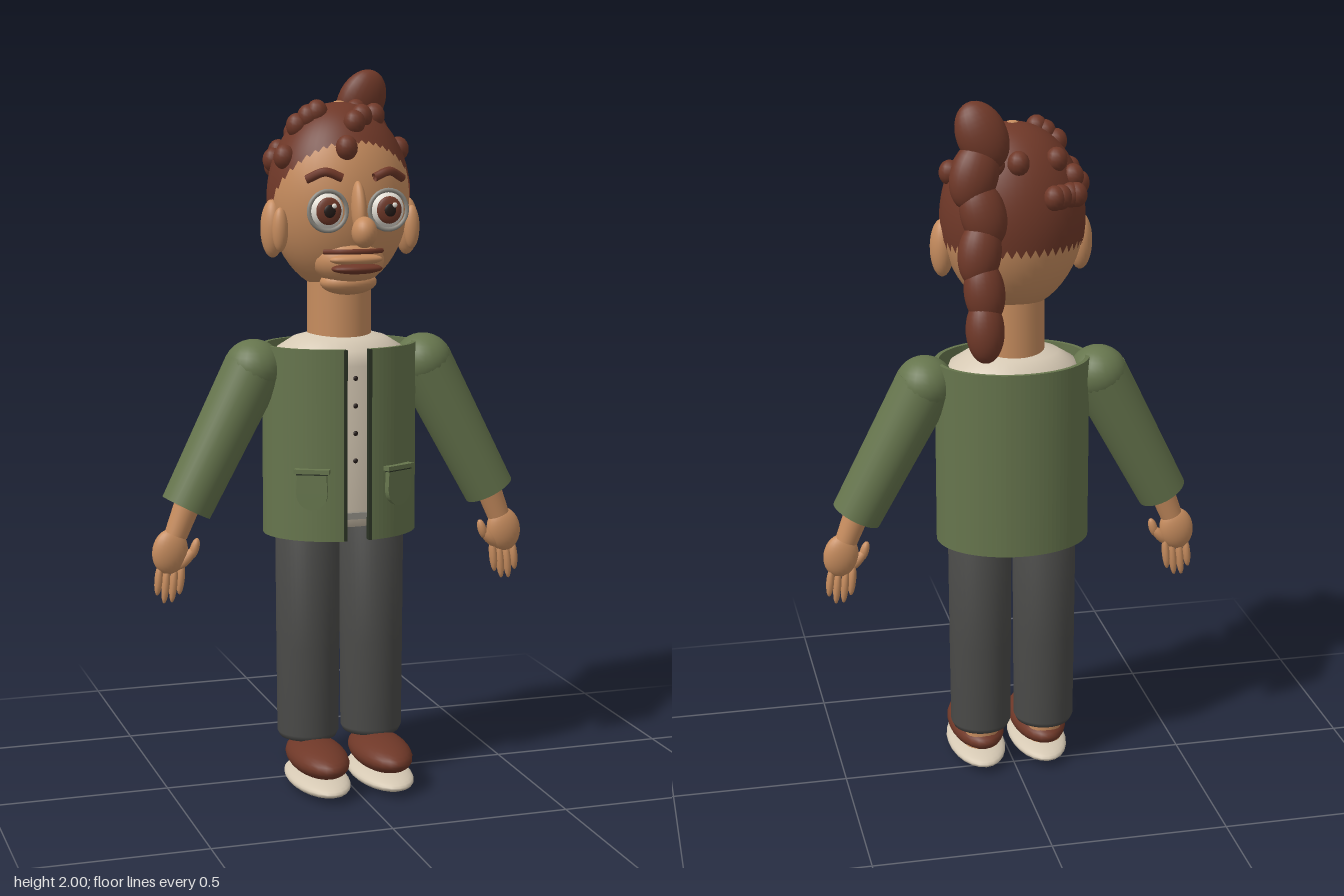
import * as THREE from 'three';

const mat = (name, color, side = THREE.FrontSide) => {
  const m = new THREE.MeshStandardMaterial({ color, side });
  m.name = name;
  return m;
};

export function createModel() {
  const model = new THREE.Group();
  model.name = 'person';
  const skin = mat('skin', 0xc68c5e);
  const hair = mat('auburn', 0x6f3828, THREE.DoubleSide);
  const green = mat('jacket green', 0x66754d, THREE.DoubleSide);
  const darkGreen = mat('jacket trim', 0x2b3324);
  const grey = mat('trouser grey', 0x4a4a48);
  const cream = mat('cream', 0xd6c9b4);
  const white = mat('eye white', 0xe9e4da);
  const metal = mat('frame grey', 0x8d8a82);
  const dark = mat('dark', 0x241a17);

  const V = (x, y, z) => new THREE.Vector3(x, y, z);
  const add = (name, geo, material, pos = [0, 0, 0], parent = model) => {
    const m = new THREE.Mesh(geo, material);
    m.name = name;
    m.position.set(...pos);
    parent.add(m);
    return m;
  };
  const blob = (name, material, pos, r, tilt = [0, 0, 0], seg = 24) => {
    const m = add(name, new THREE.SphereGeometry(1, seg, Math.round(seg * 0.7)), material, pos);
    m.scale.set(...r);
    m.rotation.set(...tilt);
    return m;
  };
  // Tapered round limb between two points
  const limb = (name, material, a, b, ra, rb) => {
    const p = V(...a), q = V(...b), d = q.clone().sub(p);
    const m = add(name, new THREE.CylinderGeometry(rb, ra, d.length(), 28), material);
    m.position.copy(p).add(q).multiplyScalar(0.5);
    m.quaternion.setFromUnitVectors(V(0, 1, 0), d.normalize());
    return m;
  };
  const tube = (name, material, pts, r) =>
    add(name, new THREE.TubeGeometry(new THREE.CatmullRomCurve3(pts.map(p => V(...p))), 20, r, 8), material);
  const lathe = (name, material, pts, pos, zScale = 1) => {
    const m = add(name, new THREE.LatheGeometry(pts.map(p => new THREE.Vector2(...p)), 40), material, pos);
    m.scale.z = zScale;
    return m;
  };

  // Head and neck
  const HY = 1.65, HZ = 0.017, RX = 0.2, RY = 0.26, RZ = 0.178;
  blob('head', skin, [0, HY, HZ], [RX - 0.004, RY - 0.002, RZ - 0.004], [0, 0, 0], 40);
  limb('neck', skin, [0, 1.24, 0.02], [0, 1.46, 0.02], 0.09, 0.088);

  // Hair cap: level at the back, hairline rising towards the forehead
  const cap = new THREE.SphereGeometry(1, 48, 20);
  const cp = cap.attributes.position, uv = cap.attributes.uv;
  for (let i = 0; i < cp.count; i++) {
    const phi = uv.getX(i) * Math.PI * 2, v = 1 - uv.getY(i);
    const s = Math.sin(phi);
    let lo = 0, hi = Math.PI;
    for (let k = 0; k < 24; k++) {
      const t = (lo + hi) / 2, z = HZ + RZ * Math.sin(t) * s;
      const edge = 1.575 + Math.max(0, z) * 1.4;
      if (HY + RY * Math.cos(t) > edge) lo = t; else hi = t;
    }
    const t = THREE.MathUtils.clamp(v, 0, 1) * lo;
    cp.setXYZ(i, -RX * Math.cos(phi) * Math.sin(t), RY * Math.cos(t), RZ * Math.sin(t) * s);
  }
  cap.computeVertexNormals();
  add('hairCap', cap, hair, [0, HY, HZ]);
  blob('crownSpot', skin, [0, 1.909, HZ], [0.015, 0.004, 0.015]);

  // Curls resting on the scalp, given as x, z
  const curls = [[-0.167, -0.052], [-0.147, -0.069], [-0.13, -0.11], [-0.1, -0.13], [-0.08, -0.14],
    [-0.098, -0.083], [-0.147, -0.11], [-0.17, 0.069], [-0.127, 0.043], [-0.098, 0.052], [-0.075, 0.058],
    [0.084, 0.069], [0.037, 0.104], [0.01, 0.125], [-0.024, 0.165], [0.173, 0.014],
    [0.012, -0.115], [0.066, -0.037], [0.075, -0.1]];
  for (const [x, z] of curls) {
    const h = 1 - (x / RX) ** 2 - ((z - HZ) / RZ) ** 2;
    blob('curl', hair, [x, HY + RY * Math.sqrt(Math.max(h, 0.1)), z], [0.03, 0.034, 0.03], [0, 0, 0], 14);
  }

  // Twisted ponytail behind the model's left side
  for (let i = 0; i < 6; i++) {
    const t = i / 5, side = i % 2 ? 1 : -1, r = 0.068 - 0.016 * t;
    blob('braidStrand', hair, [0.128 + side * 0.014 * (1 - t), 1.907 - 0.498 * t, -0.137 - 0.098 * t],
      [r, 0.094 - 0.006 * t, 0.045], [0.17, 0, side * 0.4 * (1 - t)]);
  }

  // Nose
  blob('noseTip', skin, [0, 1.57, 0.245], [0.034, 0.042, 0.038]);
  blob('noseBridge', skin, [0, 1.63, 0.198], [0.02, 0.075, 0.032], [-0.2, 0, 0]);

  // Mouth
  blob('muzzle', skin, [0, 1.485, 0.1], [0.1, 0.07, 0.092]);
  tube('upperLipLine', hair, [[-0.082, 1.512, 0.145], [-0.04, 1.514, 0.185], [0.04, 1.514, 0.185], [0.082, 1.512, 0.145]], 0.007);
  blob('upperLip', skin, [0, 1.492, 0.175], [0.075, 0.016, 0.028]);
  blob('lowerLip', hair, [0, 1.468, 0.182], [0.072, 0.015, 0.038]);
  blob('chin', skin, [0, 1.425, 0.105], [0.08, 0.035, 0.055]);

  for (const s of [-1, 1]) {
    // Eyes, frames and brows
    const x = s * 0.085, y = 1.625;
    blob('eyeball', white, [x, y, 0.17], [0.05, 0.052, 0.036]);
    add('eyeFrame', new THREE.TorusGeometry(0.053, 0.006, 8, 32), metal, [x, y, 0.192]);
    blob('iris', hair, [x, y, 0.2], [0.035, 0.037, 0.011]);
    blob('pupil', dark, [x, y, 0.208], [0.017, 0.018, 0.006]);
    blob('eyeGlint', white, [x + 0.012, y + 0.014, 0.211], [0.007, 0.007, 0.004], [0, 0, 0], 10);
    tube('eyebrow', hair, [[s * 0.045, 1.712, 0.192], [s * 0.09, 1.728, 0.185], [s * 0.135, 1.708, 0.16]], 0.012);

    // Ears
    blob('ear', skin, [s * 0.193, 1.57, 0.03], [0.033, 0.08, 0.038]);
    blob('earFront', skin, [s * 0.188, 1.57, 0.088], [0.022, 0.06, 0.021]);

    // Sleeve
    const A = [s * 0.247, 1.187, 0.022], B = [s * 0.445, 0.81, 0.036];
    blob('shoulder', green, A, [0.083, 0.08, 0.085]);
    limb('sleeve', green, A, B, 0.083, 0.072);

    // Hand
    limb('wrist', skin, B, [s * 0.475, 0.735, 0.036], 0.036, 0.032);
    blob('palm', skin, [s * 0.492, 0.69, 0.036], [0.05, 0.064, 0.03], [0, 0, s * 0.15]);
    [[0.462, 0.615, 0.05], [0.483, 0.6, 0.056], [0.505, 0.598, 0.055], [0.525, 0.612, 0.045]].forEach(([fx, fy, len]) =>
      blob('finger', skin, [s * fx, fy, 0.034], [0.0115, len, 0.014], [0, 0, s * 0.1], 12));
    blob('thumbBase', skin, [s * 0.447, 0.668, 0.04], [0.016, 0.038, 0.016], [0, 0, s * 0.75], 12);
    blob('thumbTip', skin, [s * 0.424, 0.695, 0.042], [0.013, 0.03, 0.013], [0, 0, s * 0.3], 12);

    // Trouser leg, ankle and shoe
    lathe('trouserLeg', grey, [[0.001, 0.13], [0.08, 0.13], [0.087, 0.145], [0.089, 0.4], [0.091, 0.79], [0.001, 0.8]], [s * 0.094, 0, 0.025]);
    limb('ankle', skin, [s * 0.094, 0.07, 0.015], [s * 0.094, 0.15, 0.015], 0.05, 0.05);
    blob('shoe', hair, [s * 0.093, 0.09, 0.112], [0.08, 0.047, 0.164]);
    blob('sole', cream, [s * 0.093, 0.028, 0.111], [0.083, 0.028, 0.174]);
  }

  // Shirt with buttons, and belt
  lathe('shirt', cream, [[0.001, 0.75], [0.16, 0.75], [0.185, 0.8], [0.19, 1.0], [0.19, 1.2], [0.175, 1.24],
    [0.13, 1.268], [0.085, 1.28]], [0, 0, 0.02], 0.8);
  for (let i = 0; i < 4; i++) blob('button', dark, [0, 0.94 + i * 0.076, 0.172], [0.007, 0.007, 0.005], [0, 0, 0], 10);
  add('belt', new THREE.BoxGeometry(0.1, 0.018, 0.008), metal, [0, 0.785, 0.168]);

  // Jacket: open elliptical shell with a gap in front
  const JX = 0.217, JZ = 0.174, wall = 0.012, gap = 0.17, jacket = new THREE.Shape();
  const front = -Math.PI / 2;
  jacket.absellipse(0, 0, JX, JZ, front + gap, front - gap + Math.PI * 2, false);
  jacket.absellipse(0, 0, JX - wall, JZ - wall, front - gap + Math.PI * 2, front + gap, true);
  const shell = new THREE.ExtrudeGeometry(jacket, { depth: 0.53, bevelEnabled: false, curveSegments: 48 });
  shell.rotateX(-Math.PI / 2);
  add('jacket', shell, green, [0, 0.72, 0.021]);

  // Front edges and pockets
  const pocket = new THREE.Shape();
  pocket.moveTo(-0.04, 0.05);
  pocket.lineTo(-0.043, 0);
  pocket.absellipse(0, -0.01, 0.043, 0.045, Math.PI, Math.PI * 2, false);
  pocket.lineTo(0.04, 0.05);
  const pocketGeo = new THREE.ExtrudeGeometry(pocket, { depth: 0.016, bevelEnabled: false });
  for (const s of [-1, 1]) {
    add('jacketEdge', new THREE.BoxGeometry(0.009, 0.528, 0.018), darkGreen, [s * 0.035, 0.985, 0.187]);
    const g = new THREE.Group();
    g.name = 'pocket';
    g.position.set(s * 0.12, 0.865, 0.162);
    g.rotation.y = s * 0.45;
    add('pocketPatch', pocketGeo, green, [0, 0, 0], g);
    add('pocketFlap', new THREE.BoxGeometry(0.098, 0.012, 0.024), green, [0, 0.052, 0.01], g);
    add('pocketSeam', new THREE.BoxGeometry(0.086, 0.004, 0.02), darkGreen, [0, 0.044, 0.008], g);
    model.add(g);
  }
  return model;
}
